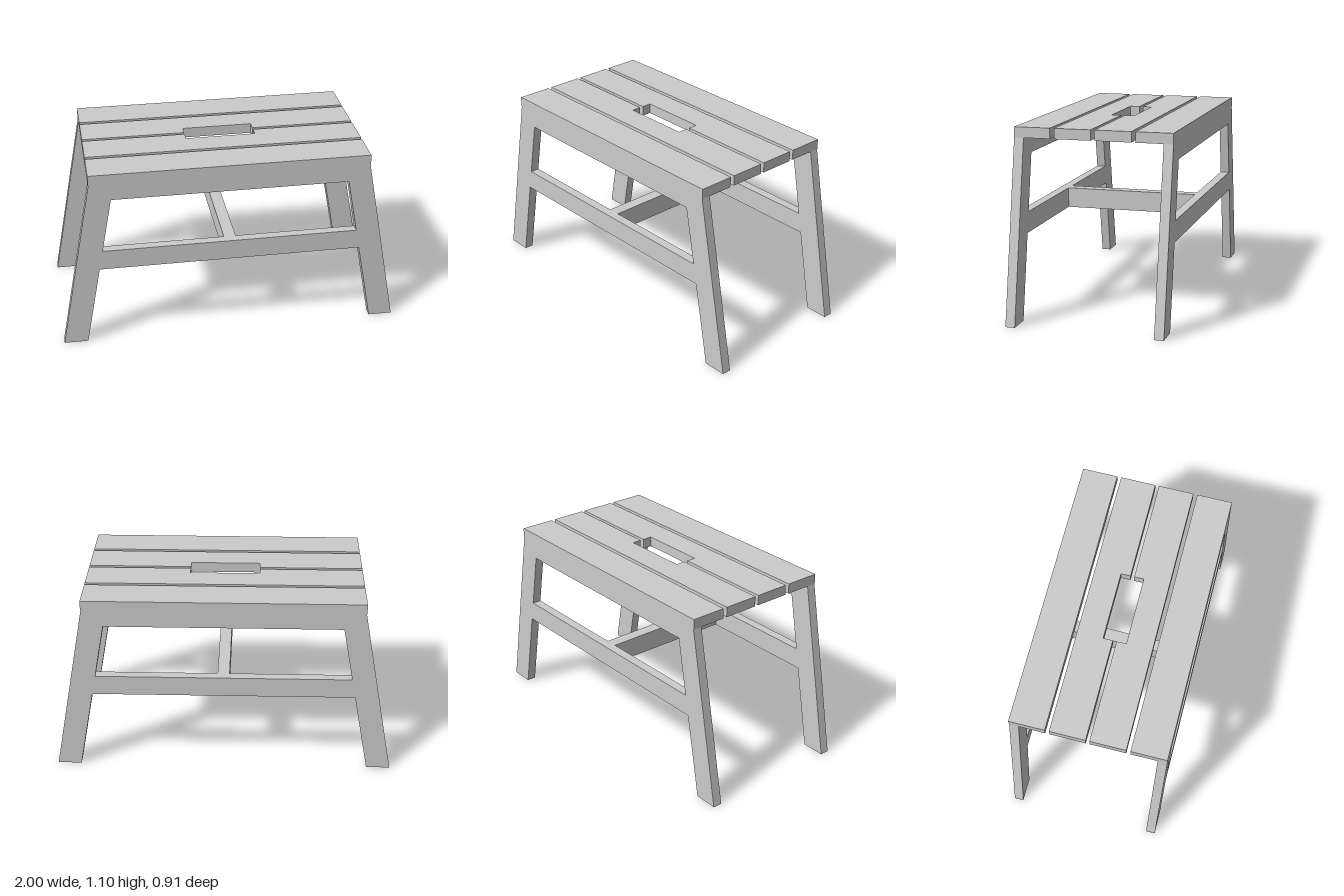
import * as THREE from 'three';

const SLOPE = 0.185;                 // how far the legs lean in per unit of height
const LEG_OUT = 1, LEG_IN = 0.86;    // leg edges at the floor
const FRAME_Z = 0.4, FRAME_T = 0.055;
const SEAT_Y = 1.04, SEAT_T = 0.06, SEAT_HALF = 0.81;

const material = new THREE.MeshStandardMaterial({ color: 0xcccccc, flatShading: true });

function board(name, points, depth) {
  const shape = new THREE.Shape(points.map(([x, y]) => new THREE.Vector2(x, y)));
  const geometry = new THREE.ExtrudeGeometry(shape, { depth, bevelEnabled: false });
  const mesh = new THREE.Mesh(geometry, material);
  mesh.name = name;
  return mesh;
}

// Rail whose ends follow the lean of the legs
function rail(name, y0, y1) {
  const a = LEG_IN - SLOPE * y0, b = LEG_IN - SLOPE * y1;
  return board(name, [[-a, y0], [a, y0], [b, y1], [-b, y1]], FRAME_T);
}

function leg(name, s) {
  const lean = SLOPE * SEAT_Y;
  const points = [[LEG_IN, 0], [LEG_OUT, 0], [LEG_OUT - lean, SEAT_Y], [LEG_IN - lean, SEAT_Y]];
  return board(name, points.map(([x, y]) => [s * x, y]), FRAME_T);
}

// Two splayed legs joined by an apron and a stretcher
function sideFrame(name, z) {
  const frame = new THREE.Group();
  frame.name = name;
  frame.add(leg('leftLeg', 1), leg('rightLeg', -1));
  frame.add(rail('apron', 0.94, SEAT_Y), rail('stretcher', 0.49, 0.61));
  frame.position.z = z;
  return frame;
}

// Seat slat drawn in plan and laid flat; s mirrors it front to back
function slat(name, plan, s) {
  const mesh = board(name, plan.map(([x, z]) => [x, s * z]), SEAT_T);
  mesh.rotation.x = -Math.PI / 2;
  mesh.position.y = SEAT_Y;
  return mesh;
}

export function createModel() {
  const model = new THREE.Group();
  model.name = 'stepStool';

  model.add(sideFrame('frontFrame', FRAME_Z), sideFrame('backFrame', -FRAME_Z - FRAME_T));

  // Seat: plain outer slats, inner slats notched for the hand hole
  const w = SEAT_HALF, h = 0.205, notch = 0.068;
  const outer = [[-w, 0.245], [w, 0.245], [w, 0.455], [-w, 0.455]];
  const inner = [[-w, 0.011], [-h, 0.011], [-h, notch], [h, notch], [h, 0.011],
    [w, 0.011], [w, 0.221], [-w, 0.221]];
  for (const [side, s] of [['front', -1], ['back', 1]]) {
    model.add(slat(side + 'OuterSlat', outer, s), slat(side + 'InnerSlat', inner, s));
  }

  // Cross bar between the two stretchers
  const bar = new THREE.Mesh(new THREE.BoxGeometry(0.07, 0.12, 2 * FRAME_Z), material);
  bar.name = 'crossBar';
  bar.position.y = 0.55;
  model.add(bar);

  return model;
}
